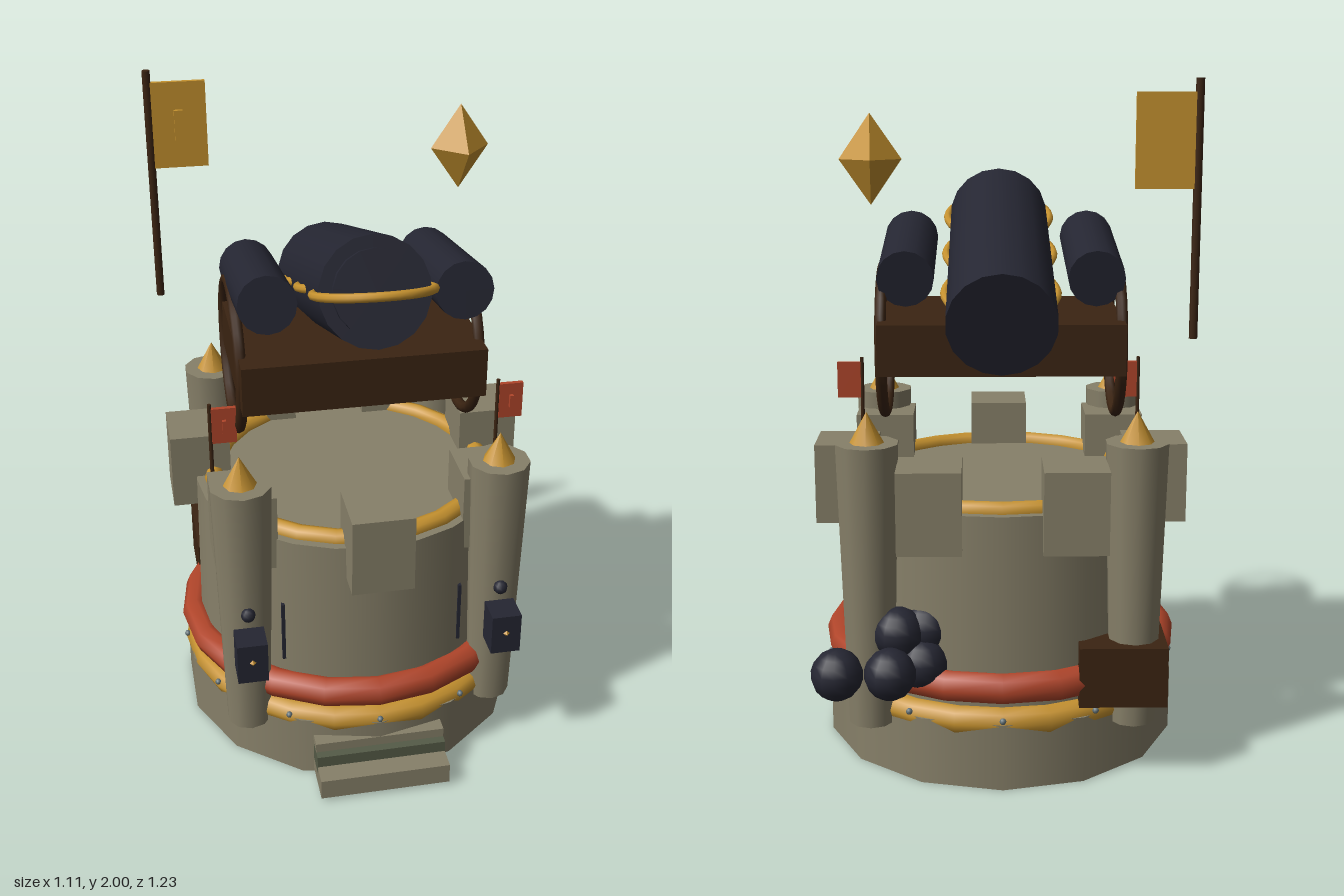
import * as THREE from 'three';

const paint = (name, color) => {
  const m = new THREE.MeshStandardMaterial({ color });
  m.name = name;
  return m;
};

export function createModel() {
  const stone = paint('stone', 0x878069);
  const moss = paint('mossy stone', 0x555b47);
  const gold = paint('gold', 0xc6922f);
  const red = paint('red', 0xb0452a);
  const iron = paint('dark iron', 0x252632);
  const wood = paint('dark wood', 0x3b2412);
  const steel = paint('steel', 0x66757a);

  const model = new THREE.Group();
  const CZ = -0.02; // centre of the round keep

  const add = (name, geo, mat, x = 0, y = 0, z = 0, parent = model) => {
    const mesh = new THREE.Mesh(geo, mat);
    mesh.name = name;
    mesh.position.set(x, y, z);
    parent.add(mesh);
    return mesh;
  };
  const group = (name, x, y, z, parent = model) => {
    const g = new THREE.Group();
    g.name = name;
    g.position.set(x, y, z);
    parent.add(g);
    return g;
  };
  const box = (w, h, d) => new THREE.BoxGeometry(w, h, d);
  const cyl = (top, bottom, h, sides) => new THREE.CylinderGeometry(top, bottom, h, sides);
  // Horizontal ring
  const ring = (r, tube, radial, segments) =>
    new THREE.TorusGeometry(r, tube, radial, segments).rotateX(Math.PI / 2);

  // Keep: plinth, drum and encircling bands
  add('plinth', cyl(0.543, 0.543, 0.2, 14), stone, 0, 0.1, CZ);
  add('drum', cyl(0.48, 0.49, 0.62, 24), stone, 0, 0.49, CZ);
  add('goldBand', ring(0.5, 0.042, 8, 24), gold, 0, 0.195, CZ);
  add('redBand', ring(0.505, 0.046, 8, 20), red, 0, 0.297, CZ);
  add('parapetBand', ring(0.425, 0.03, 8, 24), gold, 0, 0.8, CZ);
  for (let i = 0; i < 12; i++) {
    const a = (i / 12) * Math.PI * 2;
    add('rivet', new THREE.SphereGeometry(0.01, 6, 4), steel, Math.sin(a) * 0.54, 0.212, CZ + Math.cos(a) * 0.54);
  }

  // Seven square merlons, all facing the same way
  for (let i = 0; i < 7; i++) {
    const a = (i / 7) * Math.PI * 2;
    add('merlon', box(0.184, 0.24, 0.184), stone, Math.sin(a) * 0.4745, 0.82, CZ - 0.005 + Math.cos(a) * 0.4745);
  }

  // Corner turrets with gold spires; the front pair carry lock boxes
  for (const s of [-1, 1]) {
    for (const z of [0.356, -0.41]) {
      const t = group('turret', s * 0.383, 0, z);
      add('turretShaft', cyl(0.092, 0.068, 0.84, 10), stone, 0, 0.575, 0, t);
      add('spire', new THREE.ConeGeometry(0.052, 0.095, 8), gold, 0, 1.037, 0, t);
      if (z > 0) {
        add('lockBox', box(0.09, 0.13, 0.09), iron, 0, 0.482, 0.125, t);
        add('lockStud', new THREE.OctahedronGeometry(0.01), gold, 0, 0.487, 0.17, t);
        add('lockKnob', new THREE.SphereGeometry(0.022, 8, 6), iron, 0, 0.597, 0.085, t);
      }
    }
    add('arrowSlit', box(0.01, 0.2, 0.02), iron, s * 0.272, 0.48, 0.378);
  }

  // Front steps
  add('lowerStep', box(0.4, 0.066, 0.16), stone, 0, 0.045, 0.535);
  add('middleStep', box(0.4, 0.06, 0.12), moss, 0, 0.085, 0.49);
  add('upperStep', box(0.4, 0.03, 0.12), stone, 0, 0.13, 0.464);

  // Wooden crate at the back corner
  add('crate', box(0.255, 0.18, 0.28), wood, -0.348, 0.32, -0.37);

  // Pile of cannonballs against the back
  for (const [x, y, z] of [[0.47, 0.352, -0.545], [0.32, 0.352, -0.545], [0.3, 0.44, -0.45], [0.22, 0.44, -0.41], [0.23, 0.35, -0.46]])
    add('cannonball', new THREE.SphereGeometry(0.075, 12, 9), iron, x, y, z);

  // Carriage with hoop wheels
  add('carriage', box(0.716, 0.15, 0.59), wood, 0, 1.24, -0.023);
  for (const s of [-1, 1]) {
    const wheel = add('wheel', new THREE.TorusGeometry(0.226, 0.017, 8, 28), wood, s * 0.352, 1.228, -0.02);
    wheel.rotation.y = Math.PI / 2;
  }

  // Main barrel, tipped up towards the front, with gold hoops along it
  const gun = group('mainGun', 0, 1.447, 0.01);
  gun.rotation.x = -0.32;
  add('barrel', cyl(0.156, 0.161, 0.8, 18).rotateX(Math.PI / 2), iron, 0, 0, 0, gun);
  add('muzzle', cyl(0.12, 0.12, 0.04, 18).rotateX(Math.PI / 2), iron, 0, 0, 0.4, gun);
  for (const z of [-0.19, 0.085, 0.372])
    add('hoop', ring(0.166, 0.013, 8, 32), gold, 0, 0, z, gun);

  // Smaller side barrels
  for (const s of [-1, 1]) {
    const side = add('sideBarrel', cyl(0.084, 0.084, 0.485, 16).rotateX(Math.PI / 2), iron, s * 0.28, 1.47, 0.04);
    side.rotation.x = -0.16;
  }

  // Flags: pole, cloth and a raised badge on the front
  const flag = (name, x, z, low, high, w, h, clothY, mat, poleR) => {
    const f = group(name, x, 0, z);
    add('pole', cyl(poleR, poleR, high - low, 8), wood, 0, (low + high) / 2, 0, f);
    add('cloth', box(w, h, 0.014), mat, w / 2 + 0.004, clothY, 0, f);
    add('badge', box(w * 0.16, h * 0.36, 0.014), mat, w / 2 + 0.004, clothY, 0.012, f);
  };
  flag('bigFlag', -0.538, -0.372, 1.285, 2, 0.168, 0.262, 1.833, gold, 0.012);
  for (const x of [-0.442, 0.438])
    flag('pennant', x, 0.13, 0.8, 1.14, 0.074, 0.115, 1.068, red, 0.006);

  // Floating crystal
  const crystal = add('crystal', new THREE.OctahedronGeometry(1), gold, 0.375, 1.775, -0.187);
  crystal.scale.set(0.09, 0.13, 0.09);
  crystal.rotation.y = 0.06;

  return model;
}
